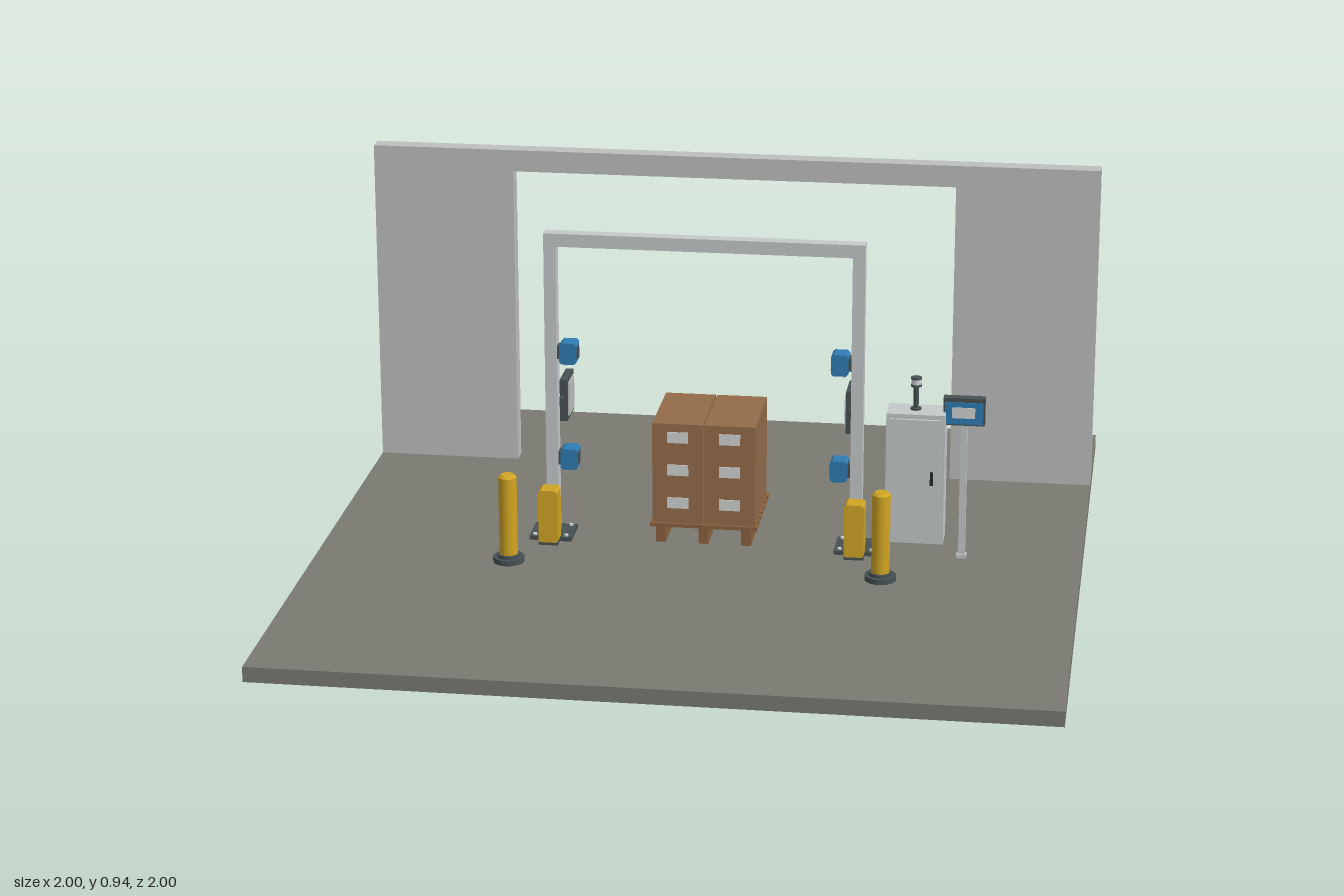
import * as THREE from 'three';

const mat = (name, color, side = THREE.FrontSide) => {
  const m = new THREE.MeshStandardMaterial({ color, side });
  m.name = name;
  return m;
};

export function createModel() {
  const root = new THREE.Group();
  root.name = 'warehouseGate';
  const M = {
    floor: mat('concrete', 0x7a7a72),
    wall: mat('wallGrey', 0xbdbfbe),
    steel: mat('paleSteel', 0xc6c9ca),
    dark: mat('darkGrey', 0x465053),
    yellow: mat('safetyYellow', 0xd0a524),
    blue: mat('signalBlue', 0x2f7cb4),
    card: mat('cardboard', 0x936c4a),
    wood: mat('palletWood', 0x8c623e),
    label: mat('labelWhite', 0xd2d4d3),
    black: mat('black', 0x25292b),
  };

  const add = (parent, name, geo, material, x = 0, y = 0, z = 0) => {
    const m = new THREE.Mesh(geo, material);
    m.name = name;
    m.position.set(x, y, z);
    parent.add(m);
    return m;
  };
  // box given by its limits on each axis
  const box = (parent, name, material, x0, x1, y0, y1, z0, z1) =>
    add(parent, name, new THREE.BoxGeometry(Math.abs(x1 - x0), y1 - y0, z1 - z0), material,
      (x0 + x1) / 2, (y0 + y1) / 2, (z0 + z1) / 2);
  // upright cylinder standing on y0
  const cyl = (parent, name, material, r, x, y0, y1, z, rTop = r, n = 24) =>
    add(parent, name, new THREE.CylinderGeometry(rTop, r, y1 - y0, n), material, x, (y0 + y1) / 2, z);
  // box with chamfered corners in its front outline
  const chamferBox = (w, h, d, c) => {
    const a = w / 2, b = h / 2;
    const pts = [[-a + c, -b], [a - c, -b], [a, -b + c], [a, b - c], [a - c, b], [-a + c, b], [-a, b - c], [-a, -b + c]];
    const shape = new THREE.Shape(pts.map(p => new THREE.Vector2(...p)));
    return new THREE.ExtrudeGeometry(shape, { depth: d, bevelEnabled: false }).translate(0, 0, -d / 2);
  };
  const group = (name) => {
    const g = new THREE.Group();
    g.name = name;
    root.add(g);
    return g;
  };
  const F = 0.04; // floor level

  box(root, 'floorSlab', M.floor, -1, 1, 0, F, -1, 1);

  // Back wall with a wide opening, as one outline
  const o = new THREE.Shape([[-1, F], [-0.61, F], [-0.61, 0.88], [0.61, 0.88], [0.61, F], [1, F], [1, 0.94], [-1, 0.94]]
    .map(p => new THREE.Vector2(...p)));
  add(root, 'backWall', new THREE.ExtrudeGeometry(o, { depth: 0.05, bevelEnabled: false }), M.wall, 0, 0, -0.625);

  // Portal frame with its readers, mirrored on both sides
  const portal = group('portal');
  box(portal, 'crossBeam', M.steel, -0.42, 0.42, 0.845, 0.88, -0.018, 0.018);
  for (const s of [-1, 1]) {
    const side = s < 0 ? 'right' : 'left';
    box(portal, side + 'Post', M.steel, s * 0.388, s * 0.42, 0.05, 0.845, -0.018, 0.018);
    box(portal, side + 'BasePlate', M.dark, s * 0.35, s * 0.463, F, 0.051, -0.055, 0.05);
    for (const dx of [-0.042, 0.042]) for (const dz of [-0.04, 0.04])
      cyl(portal, 'anchorBolt', M.label, 0.006, s * 0.407 + dx, 0.051, 0.056, dz - 0.002, 0.006, 6);

    // Blue readers on dark brackets
    for (const y of [0.262, 0.555]) {
      box(portal, 'readerBracket', M.dark, s * 0.375, s * 0.39, y - 0.018, y + 0.018, -0.015, 0.015);
      add(portal, 'reader', chamferBox(0.045, 0.058, 0.05, 0.006), M.blue, s * 0.358, y, 0);
      box(portal, 'readerWindow', M.dark, s * 0.334, s * 0.336, y - 0.016, y + 0.016, -0.017, 0.017);
      cyl(portal, 'cableGland', M.steel, 0.005, s * 0.368, y - 0.038, y - 0.028, 0, 0.005, 12);
    }

    // Antenna panel reaching backwards, pale face towards the lane
    box(portal, 'antennaArm', M.dark, s * 0.378, s * 0.39, 0.395, 0.42, -0.035, -0.015);
    box(portal, 'antennaPanel', M.dark, s * 0.37, s * 0.39, 0.35, 0.465, -0.128, -0.03);
    box(portal, 'antennaFace', M.wall, s * 0.366, s * 0.37, 0.362, 0.453, -0.117, -0.041);

    // Yellow guard box in front of each post
    add(portal, 'guardBox', chamferBox(0.052, 0.146, 0.052, 0.006), M.yellow, s * 0.406, 0.119, 0.057);
    box(portal, 'guardFoot', M.dark, s * 0.38, s * 0.432, F, 0.047, 0.03, 0.084);

    // Bollards
    const b = group(side + 'Bollard');
    b.position.set(s * 0.488, 0, 0.21);
    cyl(b, 'bollardFlange', M.dark, 0.041, 0, F, 0.054, 0);
    cyl(b, 'bollardCollar', M.dark, 0.03, 0, 0.054, 0.062, 0);
    cyl(b, 'bollardPost', M.yellow, 0.024, 0, 0.062, 0.274, 0);
    cyl(b, 'bollardCap', M.yellow, 0.024, 0, 0.274, 0.281, 0, 0.017);
  }

  // Pallet: three runners under a slatted deck
  const pallet = group('pallet');
  for (const x of [-0.114, 0, 0.114])
    box(pallet, 'runner', M.wood, x - 0.013, x + 0.013, F, 0.083, -0.25, 0.018);
  for (let i = 0; i < 7; i++) {
    const z = -0.236 + i * 0.04;
    box(pallet, 'deckBoard', M.wood, -0.143, 0.143, 0.083, 0.093, z - 0.015, z + 0.015);
  }

  // Two stacks of cartons with three labels each
  const load = group('cartons');
  for (const s of [-1, 1]) {
    box(load, 'cartonStack', M.card, s * 0.002, s * 0.137, 0.093, 0.37, -0.243, 0.012);
    for (const y of [0.15, 0.242, 0.333])
      box(load, 'cartonLabel', M.label, s * 0.069 - 0.028, s * 0.069 + 0.028, y - 0.015, y + 0.015, 0.012, 0.015);
  }

  // Control cabinet with door, handle and signal lamp
  const cab = group('controlCabinet');
  box(cab, 'cabinetBody', M.steel, 0.485, 0.638, 0.09, 0.445, -0.018, 0.068);
  box(cab, 'cabinetDoor', M.steel, 0.495, 0.628, 0.112, 0.433, 0.068, 0.075);
  box(cab, 'doorHandle', M.black, 0.602, 0.61, 0.257, 0.292, 0.075, 0.083);
  cyl(cab, 'lampFoot', M.dark, 0.014, 0.558, 0.445, 0.45, 0.022);
  cyl(cab, 'lampPole', M.dark, 0.007, 0.558, 0.45, 0.508, 0.022);
  cyl(cab, 'lampRing', M.dark, 0.014, 0.558, 0.508, 0.514, 0.022);
  cyl(cab, 'lampLens', M.label, 0.013, 0.558, 0.514, 0.528, 0.022);
  cyl(cab, 'lampCap', M.dark, 0.014, 0.558, 0.528, 0.533, 0.022);

  // Operator terminal on a thin stand
  const term = group('terminal');
  box(term, 'terminalPost', M.steel, 0.676, 0.694, 0.05, 0.415, 0.012, 0.028);
  box(term, 'terminalFoot', M.steel, 0.672, 0.698, F, 0.05, 0.008, 0.032);
  box(term, 'terminalHousing', M.dark, 0.63, 0.738, 0.41, 0.484, 0.01, 0.036);
  box(term, 'terminalFace', M.blue, 0.634, 0.734, 0.414, 0.473, 0.036, 0.039);
  box(term, 'terminalScreen', M.label, 0.653, 0.713, 0.431, 0.46, 0.039, 0.041);

  return root;
}
